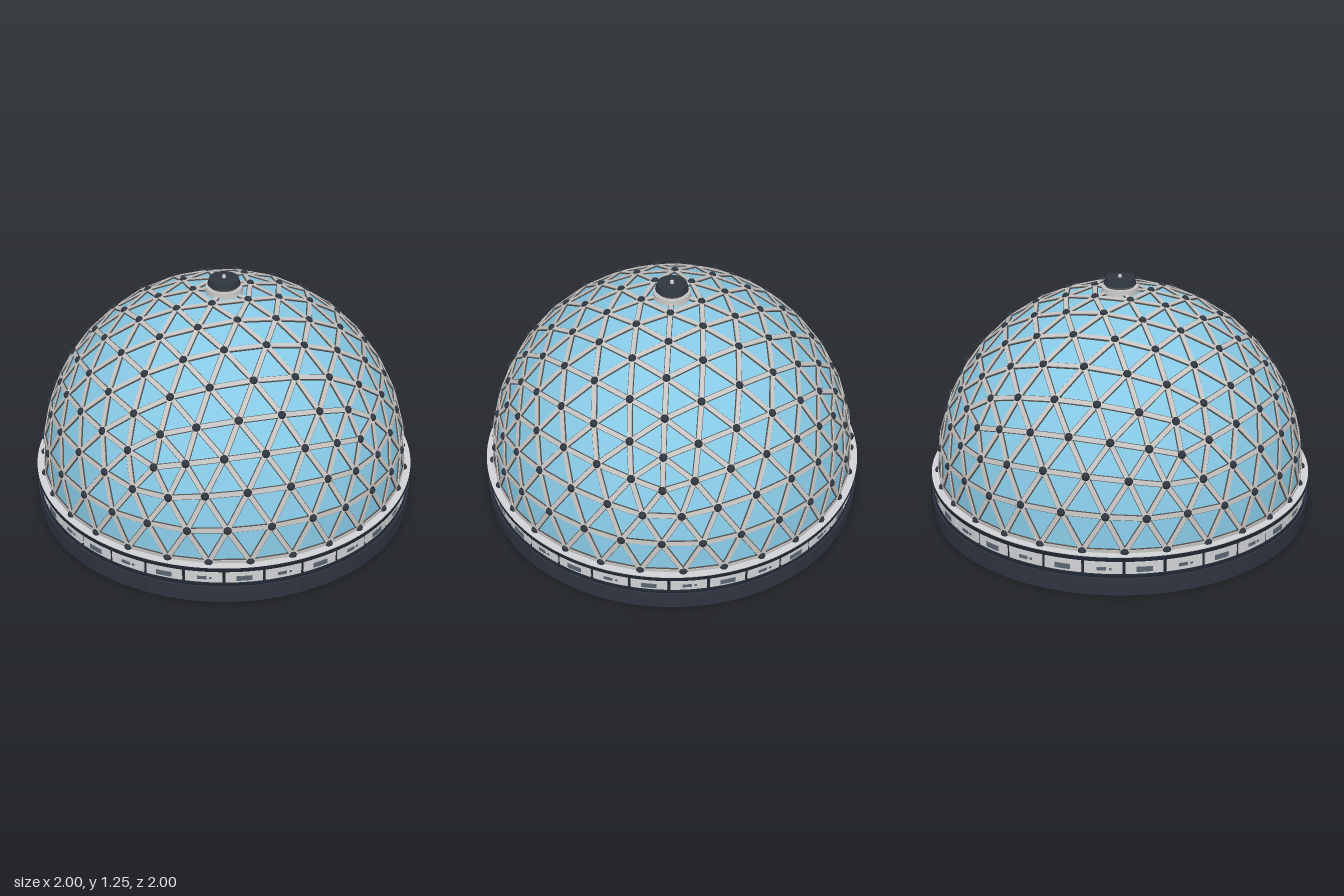
import * as THREE from 'three';
import { mergeGeometries, toCreasedNormals } from 'three/addons/utils/BufferGeometryUtils.js';

const R = 0.957, CENTRE_Y = 0.21, RAD = Math.PI / 180;

const mat = (name, color) => {
  const m = new THREE.MeshStandardMaterial({ color });
  m.name = name;
  return m;
};

// Block curved around the y axis; without angles it is a full ring.
function arcBlock(rIn, rOut, y0, y1, a0, a1) {
  const shape = new THREE.Shape();
  const full = a0 === undefined;
  if (full) {
    shape.absarc(0, 0, rOut, 0, Math.PI * 2);
    if (rIn > 0) shape.holes.push(new THREE.Path().absarc(0, 0, rIn, 0, Math.PI * 2, true));
  } else {
    shape.absarc(0, 0, rOut, a0, a1, false);
    shape.absarc(0, 0, rIn, a1, a0, true);
  }
  const g = new THREE.ExtrudeGeometry(shape, { depth: y1 - y0, bevelEnabled: false, curveSegments: full ? 96 : 4 });
  g.rotateX(-Math.PI / 2).translate(0, y0, 0);
  return toCreasedNormals(g, 0.5);
}

// Triangles, edges and corners of the upper half of a six-frequency geodesic sphere.
function geodesic() {
  const ball = new THREE.IcosahedronGeometry(R, 5);
  ball.rotateX(-Math.atan((1 + Math.sqrt(5)) / 2)).rotateY(-22.3 * RAD);
  const p = ball.attributes.position;
  const key = v => v.toArray().map(n => Math.round(n * 1000) + 0).join();
  const faces = [], edges = new Map(), nodes = new Map();
  for (let i = 0; i < p.count; i += 3) {
    const t = [0, 1, 2].map(k => new THREE.Vector3().fromBufferAttribute(p, i + k));
    if (t[0].y + t[1].y + t[2].y < 0.01) continue;
    faces.push(...t);
    t.forEach((a, k) => {
      const b = t[(k + 1) % 3];
      nodes.set(key(a), a);
      edges.set([key(a), key(b)].sort().join('|'), [a, b]);
    });
  }
  return { faces, edges: [...edges.values()], nodes: [...nodes.values()] };
}

// Bar along an edge, raised outward from the glass.
function strut([a, b], width, height, lift) {
  const dir = b.clone().sub(a);
  const length = dir.length();
  dir.normalize();
  const mid = a.clone().add(b).multiplyScalar(0.5);
  const out = mid.clone().normalize();
  const side = new THREE.Vector3().crossVectors(out, dir);
  mid.addScaledVector(out, lift);
  return new THREE.BoxGeometry(width, height, length)
    .applyMatrix4(new THREE.Matrix4().makeBasis(side, out, dir).setPosition(mid));
}

// Rounded hub on a corner of the dome.
function hub(v) {
  const c = v.clone().multiplyScalar(1.003);
  return new THREE.SphereGeometry(0.021, 12, 8).translate(c.x, c.y, c.z);
}

export function createModel() {
  const glass = mat('blue glass', 0x87c8e4);
  const steel = mat('light steel', 0xc4c3c2);
  const gasket = mat('dark gasket', 0x56524f);
  const hubDark = mat('hub charcoal', 0x2f363f);
  const plinthNavy = mat('plinth navy', 0x2f3441);
  const trim = mat('dark trim', 0x1f2731);
  const panelGrey = mat('panel grey', 0xd2d3d6);
  const windowBlue = mat('window slate', 0x5a6672);
  const floorGrey = mat('floor grey', 0x626267);

  const model = new THREE.Group();
  model.name = 'geodesicDome';
  const add = (name, geometry, material, parent = model) => {
    const m = new THREE.Mesh(geometry, material);
    m.name = name;
    parent.add(m);
  };

  // Dome shell
  const dome = new THREE.Group();
  dome.name = 'dome';
  dome.position.y = CENTRE_Y;
  model.add(dome);
  const { faces, edges, nodes } = geodesic();
  const skin = new THREE.BufferGeometry().setFromPoints(faces);
  skin.computeVertexNormals();
  add('glassPanes', skin, glass, dome);
  add('strutGaskets', mergeGeometries(edges.map(e => strut(e, 0.027, 0.008, 0.002))), gasket, dome);
  add('struts', mergeGeometries(edges.map(e => strut(e, 0.021, 0.012, 0.004))), steel, dome);
  add('hubs', mergeGeometries(nodes.map(hub)), hubDark, dome);

  // Plinth with a recessed floor
  add('plinth', arcBlock(0.945, 1, 0, 0.09), plinthNavy);
  add('plinthLedge', arcBlock(0.945, 0.992, 0.09, 0.102), trim);
  add('floor', arcBlock(0, 0.947, 0.062, 0.075), floorGrey);

  // Panel band and rim
  add('bandCore', arcBlock(0.94, 0.978, 0.1, 0.182), trim);
  add('rim', arcBlock(0.93, 0.998, 0.18, 0.202), trim);
  add('rimTop', arcBlock(0.92, 0.998, 0.202, 0.206), panelGrey);

  // Wall panels with alternating window layouts
  const panels = [], windows = [];
  const count = 32, step = 360 / count;
  const plate = (mid, width, y0, y1) =>
    windows.push(arcBlock(0.984, 0.991, y0, y1, (mid - width / 2) * RAD, (mid + width / 2) * RAD));
  for (let i = 0; i < count; i++) {
    const mid = -90 + (i + 0.5) * step;
    panels.push(arcBlock(0.97, 0.987, 0.108, 0.17, (mid - step * 0.46) * RAD, (mid + step * 0.46) * RAD));
    if (i % 2 === 0) {
      plate(mid, 4.4, 0.12, 0.146);
    } else {
      plate(mid - 0.5, 2.6, 0.128, 0.144);
      plate(mid + 1.9, 0.7, 0.131, 0.141);
    }
  }
  add('wallPanels', mergeGeometries(panels), panelGrey);
  add('panelWindows', mergeGeometries(windows), windowBlue);

  // Roof vent
  const vent = new THREE.Group();
  vent.name = 'roofVent';
  model.add(vent);
  const disc = (name, rTop, rBottom, y0, y1, material, sides = 32) =>
    add(name, new THREE.CylinderGeometry(rTop, rBottom, y1 - y0, sides).translate(0, (y0 + y1) / 2, 0), material, vent);
  disc('ventCollar', 0.092, 0.097, 1.155, 1.187, steel);
  disc('ventNeck', 0.068, 0.072, 1.187, 1.204, gasket);
  disc('ventCap', 0.074, 0.083, 1.2, 1.232, hubDark);
  disc('ventTip', 0.009, 0.01, 1.232, 1.246, panelGrey, 8);

  return model;
}
